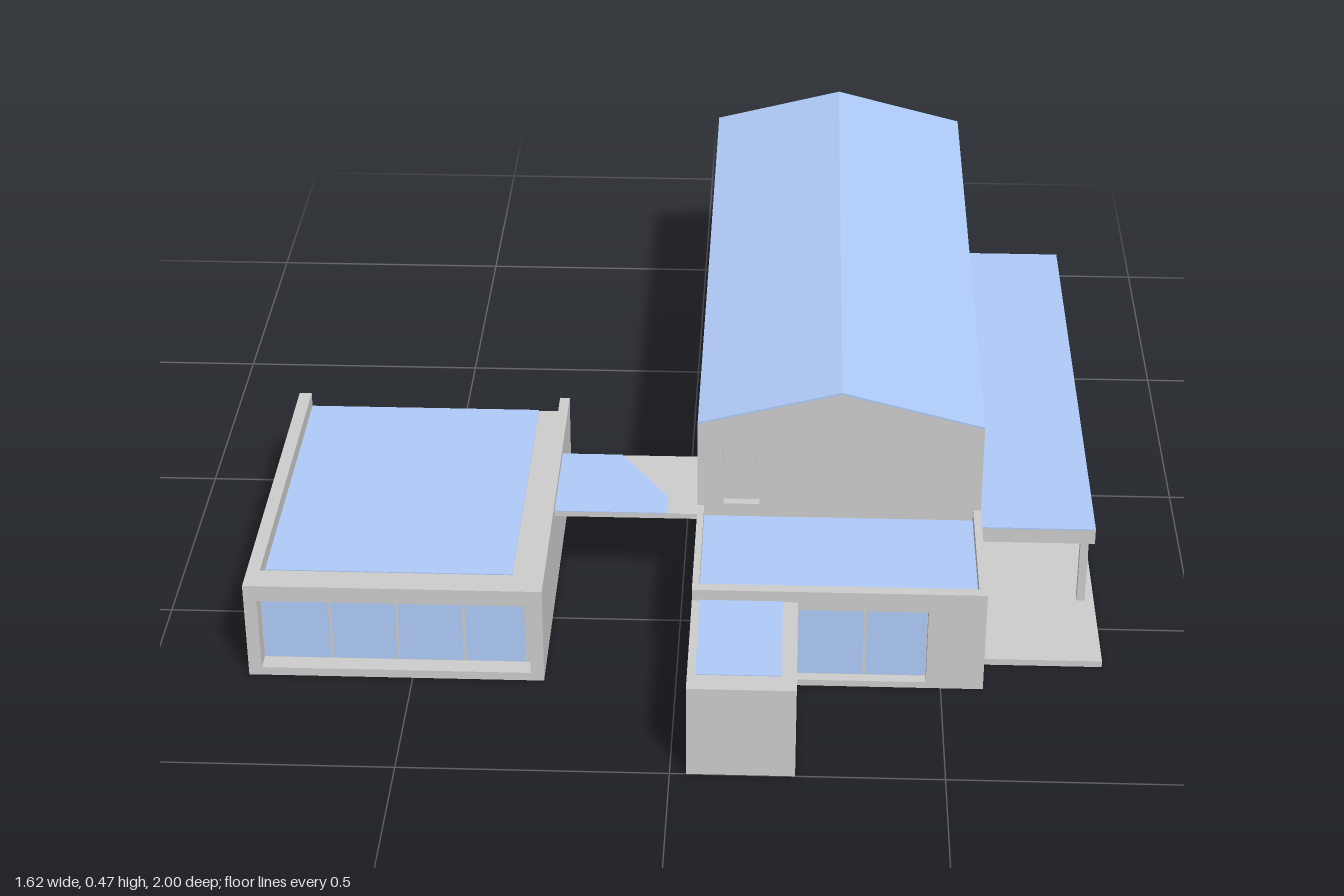
import * as THREE from 'three';

const grey = new THREE.MeshStandardMaterial({ color: 0xcccccc, flatShading: true });
const blue = new THREE.MeshStandardMaterial({ color: 0xafcaf8, flatShading: true });

// Box given by its limits on each axis
function box(parent, name, [x0, x1], [y0, y1], [z0, z1], mat = grey) {
  const mesh = new THREE.Mesh(new THREE.BoxGeometry(x1 - x0, y1 - y0, z1 - z0), mat);
  mesh.name = name;
  mesh.position.set((x0 + x1) / 2, (y0 + y1) / 2, (z0 + z1) / 2);
  parent.add(mesh);
  return mesh;
}

// Outline extruded along +z from z0 to z1, with rectangular openings [u0, u1, v0, v1]
function extrude(parent, name, points, z0, z1, openings = [], mat = grey) {
  const shape = new THREE.Shape(points.map(p => new THREE.Vector2(...p)));
  for (const [a, b, c, d] of openings) {
    shape.holes.push(new THREE.Path([[a, c], [a, d], [b, d], [b, c]].map(p => new THREE.Vector2(...p))));
  }
  const geo = new THREE.ExtrudeGeometry(shape, { depth: z1 - z0, bevelEnabled: false });
  const mesh = new THREE.Mesh(geo, mat);
  mesh.name = name;
  mesh.position.z = z0;
  parent.add(mesh);
  return mesh;
}

const rect = (a, b, c, d) => [[a, c], [b, c], [b, d], [a, d]];

function group(parent, name) {
  const g = new THREE.Group();
  g.name = name;
  parent.add(g);
  return g;
}

function buildMainHouse(root) {
  const g = group(root, 'mainHouse');
  const ridge = [0.305, 0.462], eave = 0.392;

  // Solid core, set back behind the walls that have openings
  extrude(g, 'houseCore', [[0.03, 0], [0.56, 0], [0.56, 0.396], ridge, [0.03, eave]], -1, 0.39);
  extrude(g, 'frontGable', [[0.03, 0], [0.58, 0], [0.58, eave], ridge, [0.03, eave]], 0.39, 0.41,
    [[0.08, 0.15, 0.215, 0.34]]);
  box(g, 'gableDoor', [0.085, 0.142], [0.217, 0.335], [0.385, 0.395]);

  // Side wall openings as [z0, z1, y0, y1], each with the blue part of its pane
  const windows = [
    { hole: [0.155, 0.39, 0.283, 0.363], pane: [0.157, 0.345, 0.285, 0.35] },
    { hole: [-0.13, 0.10, 0.22, 0.363], pane: [-0.128, 0.05, 0.222, 0.345] },
    { hole: [-0.417, -0.19, 0.22, 0.363], pane: [-0.415, -0.24, 0.222, 0.345] },
    { hole: [-0.60, -0.49, 0.31, 0.355], pane: [-0.595, -0.555, 0.312, 0.34] },
    { hole: [-0.98, -0.75, 0.283, 0.363], pane: [-0.978, -0.82, 0.285, 0.345] },
    { hole: [0.165, 0.39, 0.025, 0.165] },
  ];
  const wall = extrude(g, 'sideWall', rect(-0.39, 1, 0, eave), 0, 0.02,
    windows.map(({ hole: [a, b, c, d] }) => [-b, -a, c, d]));
  wall.rotation.y = Math.PI / 2;
  wall.position.set(0.56, 0, 0);
  for (const { pane } of windows) {
    if (pane) box(g, 'windowPane', [0.555, 0.562], pane.slice(2), pane.slice(0, 2), blue);
  }
  // Sloped blue part of the ground floor window
  const lower = extrude(g, 'groundWindowPane',
    [[-0.345, 0.027], [-0.167, 0.027], [-0.167, 0.06], [-0.345, 0.125]], 0, 0.007, [], blue);
  lower.rotation.y = Math.PI / 2;
  lower.position.set(0.555, 0, 0);

  // Thin roof skin over both slopes
  extrude(g, 'gableRoof', [[0.03, eave], ridge, [0.58, eave], [0.58, eave + 0.004],
    [0.305, 0.466], [0.03, eave + 0.004]], -1, 0.41, [], blue);
}

function buildFrontExtension(root) {
  const g = group(root, 'frontExtension');
  box(g, 'extensionCore', [0.03, 0.58], [0, 0.185], [0.41, 0.69]);
  extrude(g, 'extensionFrontWall', rect(0.03, 0.58, 0, 0.21), 0.69, 0.712, [[0.228, 0.472, 0.013, 0.17]]);
  for (const x of [[0.03, 0.043], [0.565, 0.58]]) box(g, 'parapet', x, [0.185, 0.21], [0.41, 0.69]);
  box(g, 'extensionRoof', [0.043, 0.565], [0.184, 0.187], [0.41, 0.68], blue);
  for (const x of [[0.23, 0.352], [0.358, 0.47]]) {
    box(g, 'slidingPane', x, [0.015, 0.158], [0.685, 0.692], blue);
  }

  // Low entrance block in front
  box(g, 'entranceBlock', [0.03, 0.228], [0, 0.187], [0.712, 1]);
  box(g, 'entranceRoof', [0.045, 0.2], [0.186, 0.1885], [0.712, 0.955], blue);
}

function buildWing(root) {
  const g = group(root, 'sideWing');
  box(g, 'wingCore', [-0.812, -0.25], [0, 0.168], [-0.02, 0.66]);
  extrude(g, 'wingFrontWall', rect(-0.812, -0.25, 0, 0.2), 0.66, 0.715, [[-0.787, -0.275, 0.017, 0.167]]);
  // Side parapets; the roof stays open at the back
  for (const x of [[-0.812, -0.787], [-0.27, -0.25]]) box(g, 'wingParapet', x, [0.168, 0.2], [-0.02, 0.66]);
  box(g, 'wingRoof', [-0.787, -0.315], [0.167, 0.17], [-0.02, 0.61], blue);
  // Glazed front with slim mullions
  box(g, 'wingGlassBacking', [-0.787, -0.275], [0.017, 0.167], [0.655, 0.678]);
  for (const x of [[-0.785, -0.66], [-0.654, -0.533], [-0.527, -0.406], [-0.4, -0.288]]) {
    box(g, 'wingPane', x, [0.019, 0.158], [0.67, 0.68], blue);
  }
}

function buildLink(root) {
  const g = group(root, 'linkCanopy');
  box(g, 'linkSlab', [-0.25, 0.03], [0.172, 0.183], [0.18, 0.4]);
  // Blue roof patch with a slanted edge
  const patch = extrude(g, 'linkRoof',
    [[-0.25, -0.4], [-0.03, -0.4], [-0.03, -0.34], [-0.13, -0.18], [-0.25, -0.18]], 0, 0.002, [], blue);
  patch.rotation.x = -Math.PI / 2;
  patch.position.set(0, 0.1825, 0);
}

function buildPorch(root) {
  const g = group(root, 'porch');
  box(g, 'porchFloor', [0.58, 0.81], [0, 0.013], [-1, 0.63]);
  box(g, 'porchCanopy', [0.58, 0.8], [0.166, 0.196], [-0.718, 0.453]);
  box(g, 'porchRoof', [0.58, 0.8], [0.196, 0.199], [-0.718, 0.453], blue);
  for (const z of [0.412, 0.15, -0.132, -0.4, -0.67]) {
    box(g, 'porchPost', [0.776, 0.792], [0.013, 0.166], [z - 0.008, z + 0.008]);
  }
}

export function createModel() {
  const root = new THREE.Group();
  root.name = 'house';
  buildMainHouse(root);
  buildFrontExtension(root);
  buildWing(root);
  buildLink(root);
  buildPorch(root);
  return root;
}
